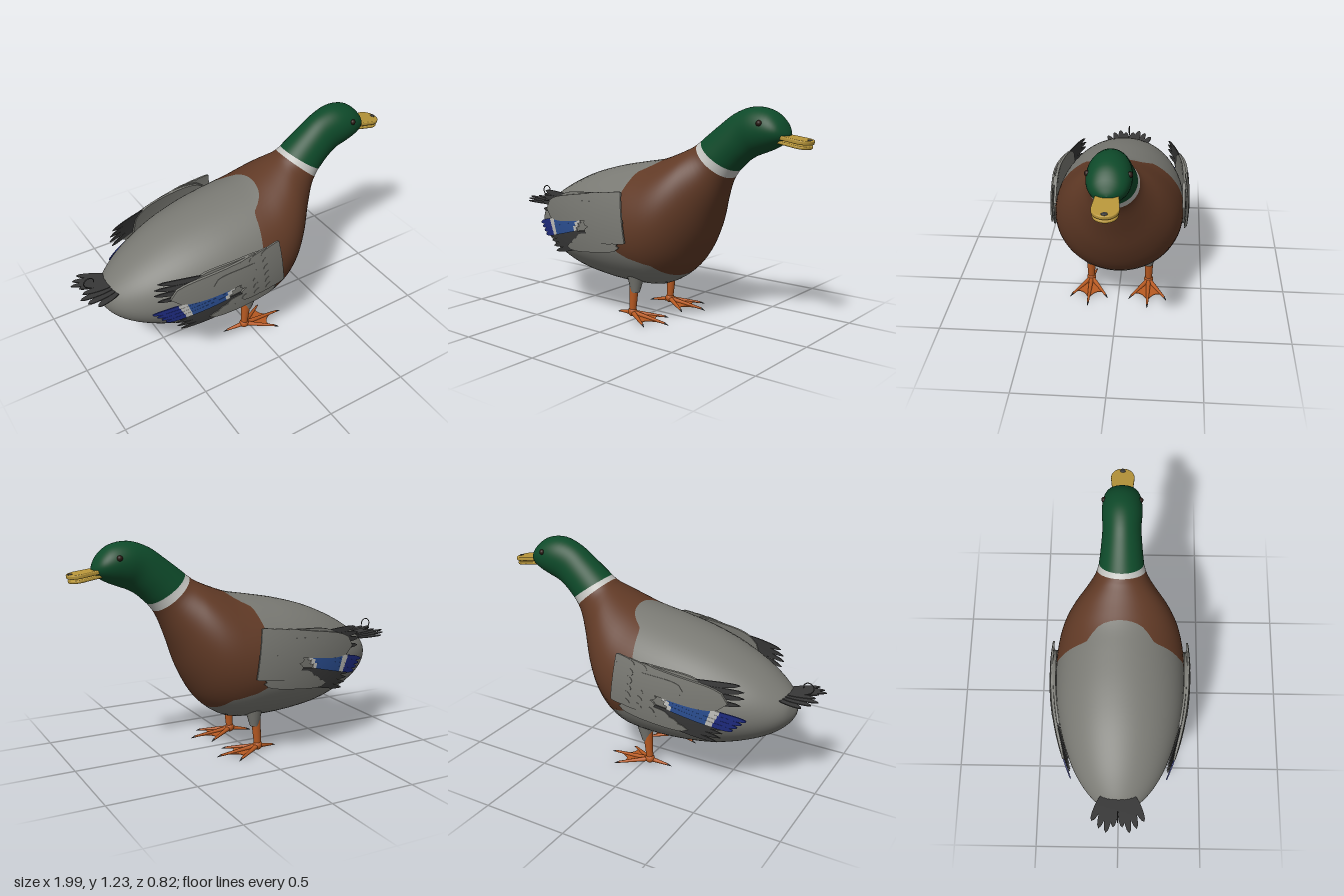
import * as THREE from 'three';

const mat = (name, color, side = THREE.FrontSide) => {
  const m = new THREE.MeshStandardMaterial({ color, side });
  m.name = name;
  return m;
};
const M = {
  grey: mat('plumageGrey', 0x7a7a74), brown: mat('chestBrown', 0x613a26),
  green: mat('headGreen', 0x0e4a2a), white: mat('white', 0xc4c4c0),
  bill: mat('billYellow', 0xb8963a), orange: mat('legOrange', 0xb85a22, THREE.DoubleSide),
  dark: mat('darkFeather', 0x383838), blue: mat('wingBlue', 0x2c5094),
  navy: mat('wingNavy', 0x1f2c82), eye: mat('eyeDark', 0x2a1a14),
};
const add = (parent, name, geo, material) => {
  const mesh = new THREE.Mesh(geo, material);
  mesh.name = name;
  parent.add(mesh);
  return mesh;
};
const V = (x, y, z = 0) => new THREE.Vector3(x, y, z);

// Body cross-sections, tail to face: top x, top y, bottom x, bottom y, half width
const SECTIONS = [
  [-.857, .485, -.857, .485, 0], [-.85, .515, -.853, .455, .035], [-.83, .565, -.825, .405, .1],
  [-.77, .62, -.76, .345, .17], [-.65, .70, -.64, .28, .25], [-.45, .795, -.45, .215, .325],
  [-.25, .855, -.25, .187, .365], [-.05, .895, -.05, .18, .375], [.08, .92, .12, .20, .365],
  [.18, .955, .25, .29, .33], [.25, .985, .35, .45, .27], [.29, 1.005, .43, .65, .2],
  [.31, 1.02, .5, .81, .147], [.33, 1.035, .545, .875, .13], [.36, 1.06, .57, .90, .124],
  [.45, 1.13, .62, .945, .114], [.55, 1.2, .67, .975, .108], [.66, 1.235, .72, .995, .113],
  [.76, 1.22, .78, 1.02, .105], [.82, 1.175, .83, 1.05, .08], [.852, 1.125, .857, 1.08, .035],
  [.862, 1.1, .862, 1.1, 0],
];
const LAST = SECTIONS.length - 1;
const topLine = new THREE.CatmullRomCurve3(SECTIONS.map((s) => V(s[0], s[1], s[4])));
const bottomLine = new THREE.CatmullRomCurve3(SECTIONS.map((s) => V(s[2], s[3])));

// Where the grey flank gives way to the brown chest: [height on section, section number]
const CHEST = [[1, 8.35], [.95, 8.15], [.86, 7.45], [.44, 7.2], [-.25, 7.15], [-.36, 7.4],
  [-.5, 8], [-.65, 8.45], [-1, 8.8]];
function chestEdge(h) {
  let i = 0;
  while (i < CHEST.length - 2 && h < CHEST[i + 1][0]) i++;
  const [a, b] = [CHEST[i], CHEST[i + 1]];
  return THREE.MathUtils.mapLinear(h, a[0], b[0], a[1], b[1]);
}

// One smooth skin, with a colour band for flank, chest, collar and head
function bodyGeometry() {
  const N = 72, rows = [30, 18, 3, 28], pos = [], idx = [];
  const geo = new THREE.BufferGeometry();
  let row = 0;
  rows.forEach((count, band) => {
    const start = idx.length;
    for (let r = band ? 1 : 0; r <= count; r++, row++) {
      for (let j = 0; j < N; j++) {
        const a = (j / N) * Math.PI * 2, h = Math.cos(a);
        const stops = [0, chestEdge(h), 12.5, 13.5, LAST];
        const t = THREE.MathUtils.lerp(stops[band], stops[band + 1], r / count) / LAST;
        const T = topLine.getPoint(t), B = bottomLine.getPoint(t);
        pos.push((T.x + B.x + (T.x - B.x) * h) / 2, (T.y + B.y + (T.y - B.y) * h) / 2,
          T.z * Math.sin(a));
        if (row > 0) {
          const k = (j + 1) % N, p = (row - 1) * N, q = row * N;
          idx.push(p + j, p + k, q + j, p + k, q + k, q + j);
        }
      }
    }
    geo.addGroup(start, idx.length - start, band);
  });
  geo.setAttribute('position', new THREE.Float32BufferAttribute(pos, 3));
  geo.setIndex(idx);
  geo.computeVertexNormals();
  return geo;
}

// Feather: a thin box shaped by a width profile and laid on a surface by place()
const POINTED = (u) => Math.min(1, .55 + u) * Math.sqrt(Math.max(0, 1 - u ** 3));
const ROUND = (u) => Math.sqrt(Math.max(0, 1 - Math.abs(2 * u - 1) ** 4));
const BLUNT = () => 1;
function feather([bx, by], [tx, ty], halfWidth, profile, place) {
  const geo = new THREE.BoxGeometry(1, 2, 1, 14, 6, 1), p = geo.attributes.position;
  const dx = tx - bx, dy = ty - by, len = Math.hypot(dx, dy);
  for (let i = 0; i < p.count; i++) {
    const u = p.getX(i) + .5, w = p.getY(i) * halfWidth * profile(u);
    p.setXYZ(i, ...place(bx + dx * u - (dy / len) * w, by + dy * u + (dx / len) * w, p.getZ(i)));
  }
  geo.computeVertexNormals();
  return geo;
}

function makeWing(side) {
  const wing = new THREE.Group();
  wing.name = side > 0 ? 'wingNear' : 'wingFar';
  const on = (layer, thick = .007) => (x, y, t) =>
    [x, y, side * (.388 + layer - .37 * (x + .1) ** 2 - .5 * (y - .57) ** 2) + t * thick];
  const put = (name, m, a, b, w, profile, layer, thick) =>
    add(wing, name, feather(a, b, w, profile, on(layer, thick)), m);

  put('wingPanel', M.grey, [.06, .6], [-.5, .56], .16, ROUND, -.004, .014);
  // Dark flight feathers above and below the blue patch
  [[-.64, .695], [-.66, .66], [-.665, .625], [-.65, .585]].forEach((tip, i) =>
    put('upperFlightFeather', M.dark, [-.28, .69 - i * .02], tip, .02, POINTED, -.002 + i * .002));
  [[-.53, .345], [-.55, .375], [-.56, .405], [-.58, .43]].forEach((tip, i) =>
    put('lowerFlightFeather', M.dark, [-.08, .48 + i * .018], tip, .021, POINTED, .003 + i * .001));
  // Grey feathers along the lower edge
  for (let i = 0; i < 3; i++)
    put('lowerCovert', M.grey, [.04, .46 + i * .025], [-.38 + i * .05, .405 + i * .035], .028, ROUND, .009);
  // Blue patch with white bars
  for (let i = 0; i < 4; i++) {
    const f = i / 3, ax = -.225 - f * .045, ay = .606 - f * .075;
    const bx = -.68 + f * .065, by = .497 - f * .062;
    const at = (u) => [ax + (bx - ax) * u, ay + (by - ay) * u];
    const layer = .011 + i * .0008;
    put('whiteBar', M.white, at(0), at(.07), .0155, BLUNT, layer);
    put('bluePatch', M.blue, at(.07), at(.61), .0155, BLUNT, layer);
    put('whiteBar', M.white, at(.61), at(.71), .0155, BLUNT, layer);
    put('navyTip', M.navy, at(.71), at(1), .0155, (u) => 1 - .7 * u ** 4, layer);
  }
  // Shoulder feathers and rows of small coverts
  put('shoulderFeather', M.grey, [.02, .70], [-.59, .595], .075, ROUND, .01, .014);
  put('shoulderFeather', M.grey, [.0, .66], [-.36, .635], .05, ROUND, .013, .012);
  for (let r = 0; r < 6; r++) {
    const y = .745 - r * .046, x = .055 + r * .006;
    for (let c = 2; c >= 0; c--)
      put('smallCovert', M.grey, [x - c * .075, y - c * .008], [x - .13 - c * .075, y - .015 - c * .01],
        .028, (u) => Math.sqrt(1 - u ** 4) * Math.min(1, .8 + u * 2), .016 - c * .002, .01);
  }
  return wing;
}

// Tapered round limb between two points
function limb(a, b, ra, rb) {
  const d = b.clone().sub(a);
  const geo = new THREE.CylinderGeometry(rb, ra, d.length(), 16);
  geo.applyQuaternion(new THREE.Quaternion().setFromUnitVectors(V(0, 1, 0), d.clone().normalize()));
  const c = a.clone().add(b).multiplyScalar(.5);
  return geo.translate(c.x, c.y, c.z);
}

function makeLeg(side) {
  const leg = new THREE.Group();
  leg.name = side > 0 ? 'legNear' : 'legFar';
  leg.position.z = side * .177;
  add(leg, 'thigh', limb(V(-.015, .155), V(-.01, .27), .026, .055), M.grey);
  add(leg, 'shank', limb(V(-.037, .03), V(-.022, .23), .02, .03), M.orange);
  add(leg, 'ankle', new THREE.SphereGeometry(.028, 16, 12).translate(-.037, .032, 0), M.orange);
  const start = V(-.037, .028);
  const toes = [V(.12, .009, -.1), V(.2, .009, 0), V(.12, .009, .1), V(-.145, .01, -side * .02)];
  toes.forEach((tip) => {
    const dir = tip.clone().sub(start).normalize();
    add(leg, 'toe', limb(start, tip, .015, .006), M.orange);
    add(leg, 'claw', limb(tip, V(tip.x + dir.x * .025, .002, tip.z + dir.z * .025), .006, .001), M.dark);
  });
  // Webbing with scooped edges
  const web = new THREE.Shape();
  web.moveTo(-.037, 0).lineTo(.1, -.088).quadraticCurveTo(.07, -.035, .16, 0)
    .quadraticCurveTo(.07, .035, .1, .088).closePath();
  const webGeo = new THREE.ExtrudeGeometry(web, { depth: .004, bevelEnabled: false });
  webGeo.rotateX(-Math.PI / 2).rotateZ(-.07).translate(0, .016, 0);
  add(leg, 'web', webGeo, M.orange);
  return leg;
}

// Flat spoon-shaped half of the bill
function billHalf(length, width, depth) {
  const s = new THREE.Shape();
  s.moveTo(0, -width * .8).lineTo(length * .65, -width)
    .bezierCurveTo(length * 1.1, -width, length * 1.1, width, length * .65, width)
    .lineTo(0, width * .8).closePath();
  return new THREE.ExtrudeGeometry(s, { depth, bevelSize: .006, bevelThickness: .006,
    bevelSegments: 3, curveSegments: 20 }).rotateX(-Math.PI / 2);
}

export function createModel() {
  const duck = new THREE.Group();
  duck.name = 'duck';
  add(duck, 'body', bodyGeometry(), [M.grey, M.brown, M.white, M.green]);

  // Bill, slightly open
  add(duck, 'upperBill', billHalf(.178, .061, .01).rotateZ(-.14).translate(.815, 1.084, 0), M.bill);
  add(duck, 'lowerBill', billHalf(.165, .057, .004).rotateZ(-.15).translate(.82, 1.061, 0), M.bill);
  add(duck, 'billNail', new THREE.SphereGeometry(1, 16, 10).scale(.013, .005, .016)
    .rotateZ(-.14).translate(.978, 1.077, 0), M.dark);

  for (const side of [1, -1]) {
    add(duck, 'eye', new THREE.SphereGeometry(.016, 20, 14).translate(.74, 1.157, side * .1), M.eye);
    duck.add(makeWing(side), makeLeg(side));
  }

  // Tail fan and curled feather
  const tail = new THREE.Group();
  tail.name = 'tail';
  [[-.93, .145], [-.97, .105], [-.995, .065], [-.965, .025]].forEach(([x, z], i) => {
    for (const s of [1, -1]) {
      const place = (a, b, t) => [a, .572 - (a + .8) * .1 + i * .003 + t * .005, -b];
      add(tail, 'tailFeather', feather([-.76, s * z * .45], [x, s * z], .024, POINTED, place), M.dark);
    }
  });
  const curl = new THREE.CatmullRomCurve3([V(-.8, .58), V(-.87, .585), V(-.925, .605), V(-.944, .635),
    V(-.93, .66), V(-.905, .664), V(-.887, .648), V(-.886, .63)]);
  add(tail, 'curledFeather', new THREE.TubeGeometry(curl, 40, .003, 8), M.dark);
  duck.add(tail);
  return duck;
}
